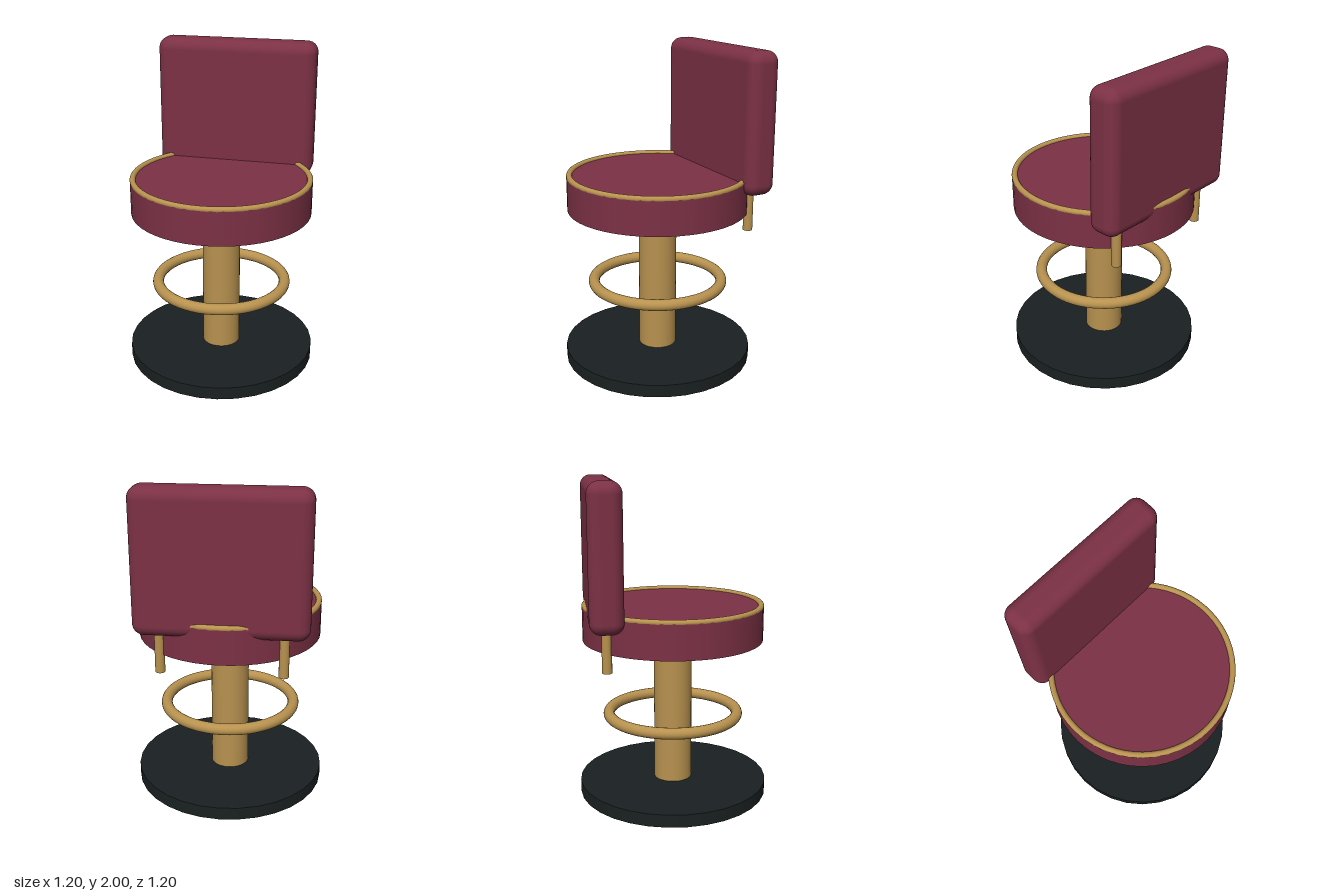
import * as THREE from 'three';
import { RoundedBoxGeometry } from 'three/addons/geometries/RoundedBoxGeometry.js';

export function createModel() {
  const group = new THREE.Group();
  const leather = new THREE.MeshStandardMaterial({ color: 0x7c3145 });
  const brass = new THREE.MeshStandardMaterial({ color: 0xb8924f });
  const dark = new THREE.MeshStandardMaterial({ color: 0x1a2021 });

  function add(name, geometry, material, x = 0, y = 0, z = 0) {
    const mesh = new THREE.Mesh(geometry, material);
    mesh.name = name;
    mesh.position.set(x, y, z);
    group.add(mesh);
    return mesh;
  }

  // Upright cylinder spanning two heights
  function post(name, radius, bottom, top, material, x = 0, z = 0, sides = 32) {
    const geometry = new THREE.CylinderGeometry(radius, radius, top - bottom, sides);
    return add(name, geometry, material, x, (bottom + top) / 2, z);
  }

  // Horizontal ring
  function ring(name, radius, tube, y) {
    const geometry = new THREE.TorusGeometry(radius, tube, 16, 64).rotateX(Math.PI / 2);
    return add(name, geometry, brass, 0, y, 0);
  }

  // Pedestal
  post('base', 0.6, 0, 0.08, dark);
  post('column', 0.12, 0.08, 0.97, brass);
  ring('footRing', 0.41, 0.035, 0.515);

  // Round cushion with brass piping
  post('seat', 0.566, 1.005, 1.222, leather, 0, 0, 48);
  ring('seatTrim', 0.549, 0.018, 1.222);

  // Backrest and its two supports
  add('backrest', new RoundedBoxGeometry(1.02, 0.86, 0.2, 6, 0.07), leather, 0, 1.57, -0.442);
  for (const [name, side] of [['leftSupport', 1], ['rightSupport', -1]]) {
    post(name, 0.03, 0.895, 1.3, brass, side * 0.363, -0.44, 16);
  }

  return group;
}
